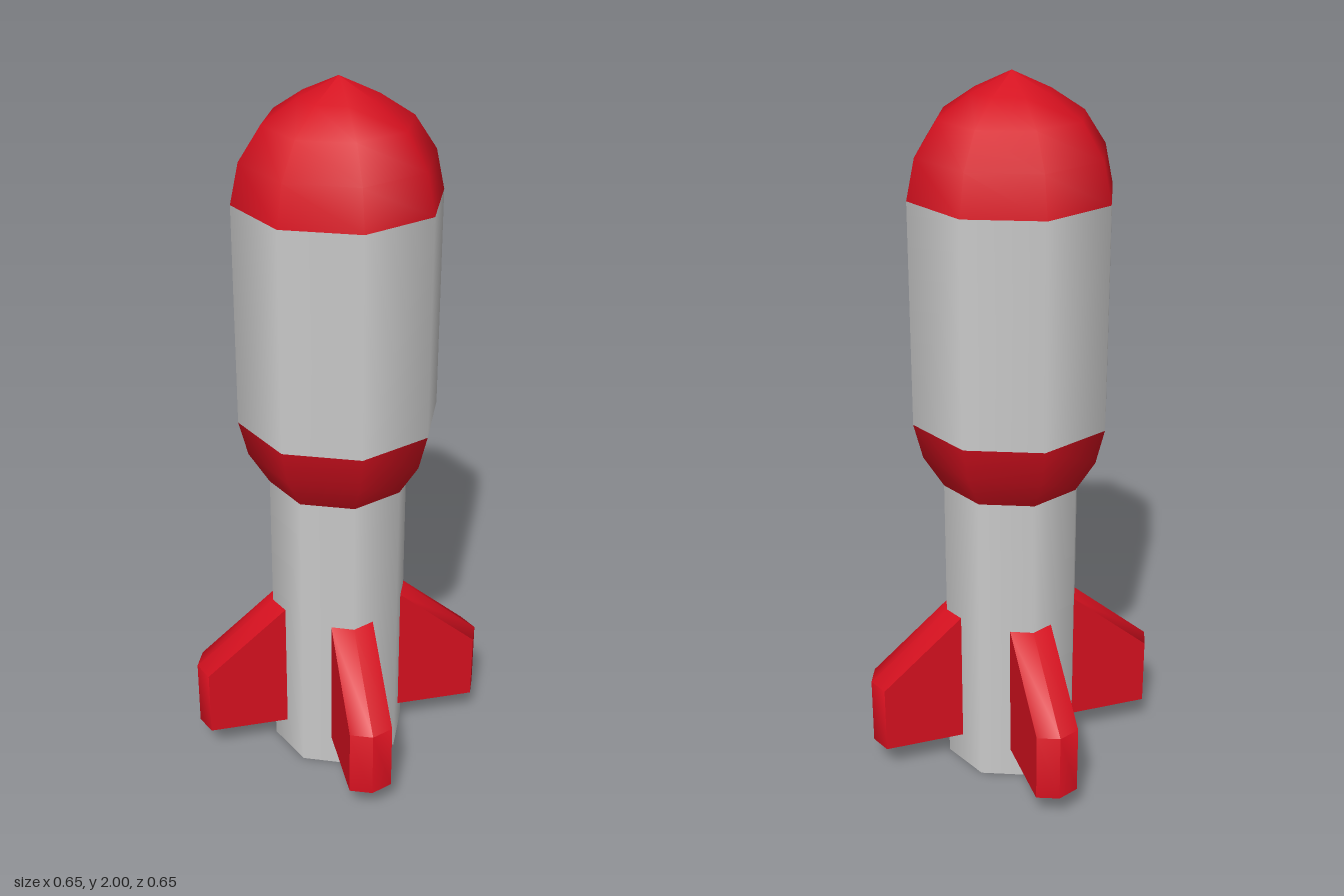
import * as THREE from 'three';
import { toCreasedNormals } from 'three/addons/utils/BufferGeometryUtils.js';

const SIDES = 8;

export function createModel() {
  const rocket = new THREE.Group();
  rocket.name = 'rocket';
  const grey = new THREE.MeshStandardMaterial({ color: 0xcccccc });
  const red = new THREE.MeshStandardMaterial({ color: 0xd5101f });

  const add = (name, geometry, material) => {
    const mesh = new THREE.Mesh(geometry, material);
    mesh.name = name;
    rocket.add(mesh);
    return mesh;
  };

  // Upright eight-sided tube between two heights
  const tube = (radius, y0, y1, open) =>
    new THREE.CylinderGeometry(radius, radius, y1 - y0, SIDES, 1, open).translate(0, (y0 + y1) / 2, 0);

  // Turned shell from [radius, height] points, bottom to top
  const turned = (points) =>
    new THREE.LatheGeometry(points.map(([r, y]) => new THREE.Vector2(r, y)), SIDES);

  // Body sections
  add('lowerTube', tube(0.195, 0, 0.886, false), grey);
  add('lowerCollar', turned([[0.195, 0.886], [0.252, 0.98], [0.277, 1.08]]), red);
  add('upperBody', tube(0.277, 1.08, 1.692, true), grey);
  add('noseCone', turned([[0.277, 1.692], [0.254, 1.8], [0.195, 1.89], [0.105, 1.95], [0, 2]]), red);

  // Fin: a plate with a ridged outer edge, extruded upward
  const half = 0.06, inner = 0.1, outer = 0.4, ridge = 0.424;
  const section = new THREE.Shape([
    [inner, -half], [outer, -half], [ridge, 0], [outer, half], [inner, half],
  ].map(([x, y]) => new THREE.Vector2(x, y)));
  const plate = new THREE.ExtrudeGeometry(section, { depth: 0.4, steps: 2, bevelEnabled: false });
  plate.rotateX(-Math.PI / 2).translate(0, 0.09, 0);

  // Sweep the upper outer edge in towards the tube
  const pos = plate.attributes.position;
  for (let i = 0; i < pos.count; i++) {
    if (pos.getY(i) > 0.4 && pos.getX(i) > 0.3) pos.setX(i, pos.getX(i) - 0.23);
  }
  const fin = toCreasedNormals(plate, THREE.MathUtils.degToRad(47));

  // Four fins on the diagonals
  for (let i = 0; i < 4; i++) {
    add('fin' + (i + 1), fin, red).rotation.y = Math.PI / 4 + i * Math.PI / 2;
  }

  return rocket;
}
